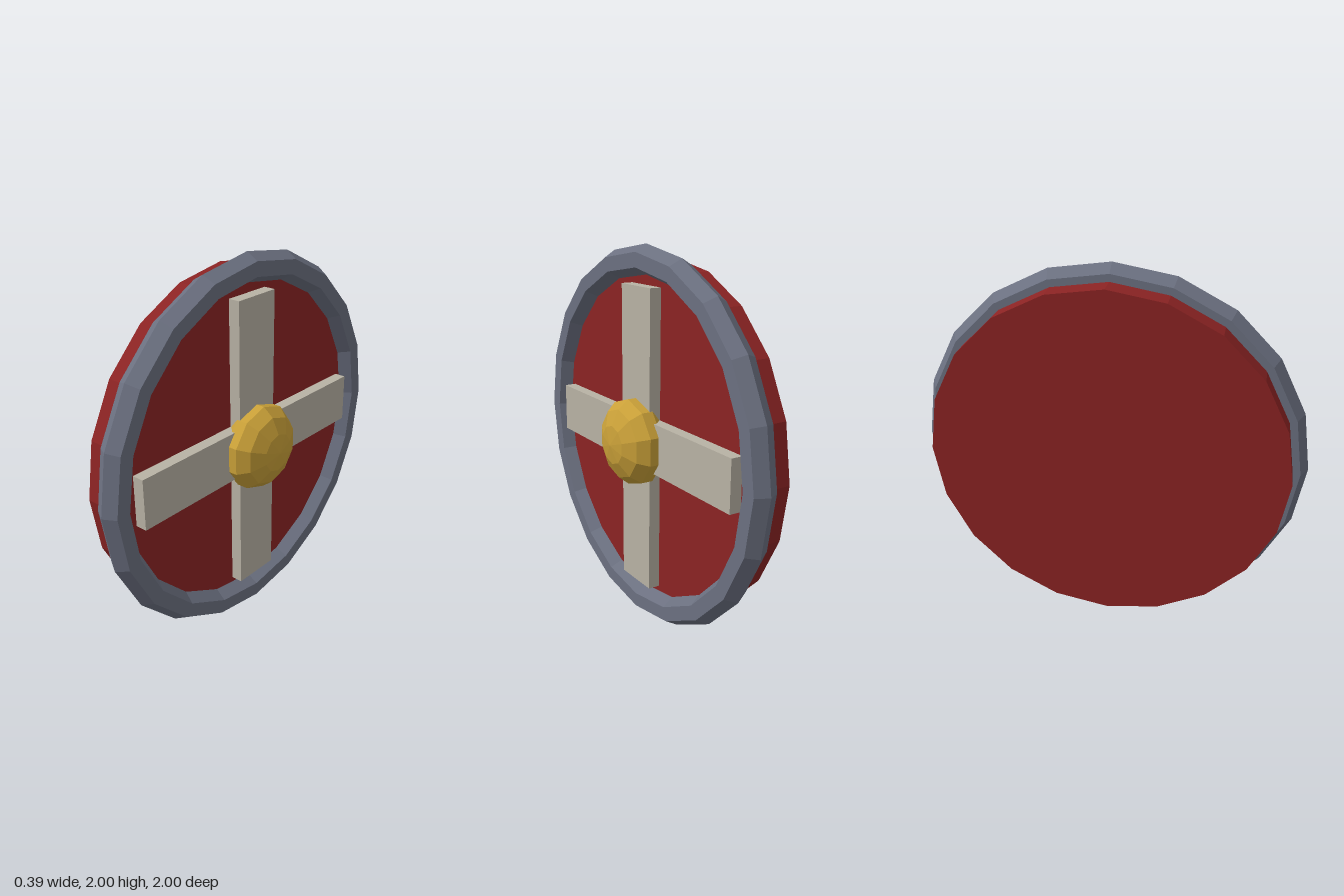
import * as THREE from 'three';

const paint = (name, color) => {
  const material = new THREE.MeshStandardMaterial({ color });
  material.name = name;
  material.flatShading = true;
  return material;
};

export function createModel() {
  const red = paint('red board', 0x8b2323);
  const steel = paint('blue grey steel', 0x6b7080);
  const pale = paint('pale cross', 0xb8b2a4);
  const gold = paint('gold boss', 0xc9a038);

  // The shield is built around the origin facing +x, then lifted onto the ground
  const shield = new THREE.Group();
  shield.name = 'roundShield';
  shield.position.y = 1;

  const add = (name, geometry, material, x) => {
    const mesh = new THREE.Mesh(geometry, material);
    mesh.name = name;
    mesh.position.x = x;
    shield.add(mesh);
    return mesh;
  };

  // Round board, corner pointing up
  const board = new THREE.CylinderGeometry(0.925, 0.925, 0.17, 20).rotateZ(-Math.PI / 2);
  add('board', board, red, -0.115);

  // Six-sided rim
  const rim = new THREE.TorusGeometry(0.925, 0.075, 6, 20).rotateY(Math.PI / 2);
  add('rim', rim, steel, -0.03);

  // Raised cross, one arm mirrored through four quarter turns
  const w = 0.133, arm = 0.8;
  const points = [];
  for (let i = 0; i < 4; i++) {
    for (const [a, b] of [[w, w], [w, arm], [-w, arm]]) {
      points.push(new THREE.Vector2(a, b).rotateAround(new THREE.Vector2(), i * Math.PI / 2));
    }
  }
  const cross = new THREE.ExtrudeGeometry(new THREE.Shape(points), { depth: 0.08, bevelEnabled: false });
  add('cross', cross.rotateY(Math.PI / 2), pale, -0.047);

  // Flattened faceted boss
  const boss = new THREE.SphereGeometry(0.235, 10, 7).rotateZ(-Math.PI / 2).scale(0.605, 1, 1);
  add('boss', boss, gold, 0.048);

  const model = new THREE.Group();
  model.name = 'shield';
  model.add(shield);
  return model;
}
